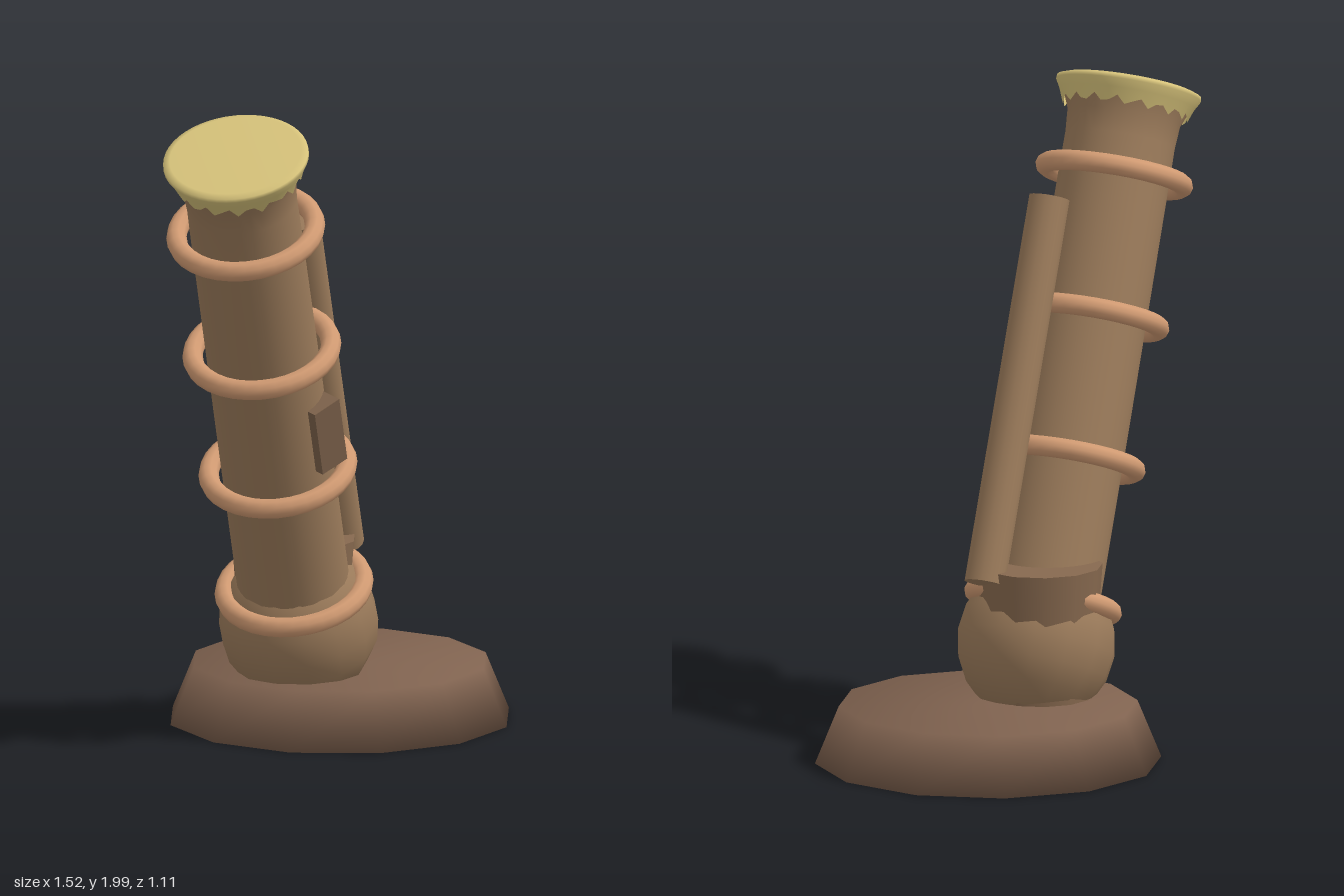
import * as THREE from 'three';
import { mergeVertices } from 'three/addons/utils/BufferGeometryUtils.js';

const paint = (name, color, side = THREE.FrontSide) => {
  const m = new THREE.MeshStandardMaterial({ color, side });
  m.name = name;
  return m;
};

// Share normals across hard edges for a soft, rounded look
function soften(geometry) {
  geometry.deleteAttribute('normal');
  geometry.deleteAttribute('uv');
  const g = mergeVertices(geometry);
  g.computeVertexNormals();
  return g;
}

export function createModel() {
  const wood = paint('wood brown', 0x9a7a5a, THREE.DoubleSide);
  const darkWood = paint('dark wood', 0x7f624f);
  const collarWood = paint('collar brown', 0x87694f);
  const plateWood = paint('plate brown', 0x7c614a);
  const copper = paint('copper', 0xd09a72);
  const gold = paint('pale gold', 0xd6c27a, THREE.DoubleSide);

  const model = new THREE.Group();
  const add = (parent, name, geometry, material, x = 0, y = 0, z = 0) => {
    const mesh = new THREE.Mesh(geometry, material);
    mesh.name = name;
    mesh.position.set(x, y, z);
    parent.add(mesh);
    return mesh;
  };
  const lathe = (pts, segments) =>
    new THREE.LatheGeometry(pts.map(p => new THREE.Vector2(...p)), segments);

  // Twelve-sided base and the upright collar standing on it
  add(model, 'base', soften(new THREE.CylinderGeometry(0.452, 0.524, 0.175, 12)), darkWood, 0.233, 0.0875, -0.035);
  add(model, 'collar', new THREE.CylinderGeometry(0.19, 0.158, 0.42, 12), collarWood, 0.045, 0.37, -0.04);

  // Leaning barrel: its origin is the ball joint, local y runs along the barrel
  const barrel = new THREE.Group();
  barrel.name = 'barrel';
  barrel.position.set(0.033, 0.33, -0.004);
  barrel.quaternion.setFromUnitVectors(
    new THREE.Vector3(0, 1, 0),
    new THREE.Vector3(-0.342, 0.918, 0.2).normalize()
  );
  model.add(barrel);

  add(barrel, 'ballJoint', new THREE.SphereGeometry(0.243, 14, 10), wood);

  // Straight tube with a flared mouth
  add(barrel, 'tube', lathe([
    [0.17, 0], [0.17, 0.75], [0.168, 1.45], [0.167, 1.55],
    [0.172, 1.62], [0.196, 1.68], [0.21, 1.712],
  ], 32), wood);

  // Copper rings at even spacing
  for (let i = 0; i < 4; i++) {
    const ring = add(barrel, 'ring', new THREE.TorusGeometry(0.21, 0.031, 10, 32), copper, 0, 0.126 + i * 0.439, 0);
    ring.rotation.x = Math.PI / 2;
  }

  // Rounded end cap with a jagged lower edge
  const segments = 48;
  const profile = [[0.19, 1.645], [0.207, 1.68], [0.221, 1.705], [0.22, 1.717], [0.2, 1.724], [0, 1.724]];
  const cap = lathe(profile, segments);
  const pos = cap.attributes.position;
  for (let i = 0; i <= segments; i++) {
    const k = i * profile.length;
    pos.setY(k, pos.getY(k) + 0.014 * Math.sin((i % segments) * 2.2));
  }
  add(barrel, 'endCap', cap, gold);

  // Raised plate on the front of the barrel
  add(barrel, 'plate', new THREE.BoxGeometry(0.104, 0.22, 0.07), plateWood, 0.055, 0.735, 0.165);

  // Thin pipe running parallel to the barrel
  const low = new THREE.Vector3(0.235, 0.542, -0.02);
  const high = new THREE.Vector3(-0.17, 1.637, 0.213);
  const pipe = add(model, 'sidePipe', new THREE.CylinderGeometry(0.062, 0.062, low.distanceTo(high), 16), wood);
  pipe.position.copy(low).add(high).multiplyScalar(0.5);
  pipe.quaternion.setFromUnitVectors(new THREE.Vector3(0, 1, 0), high.clone().sub(low).normalize());

  return model;
}
